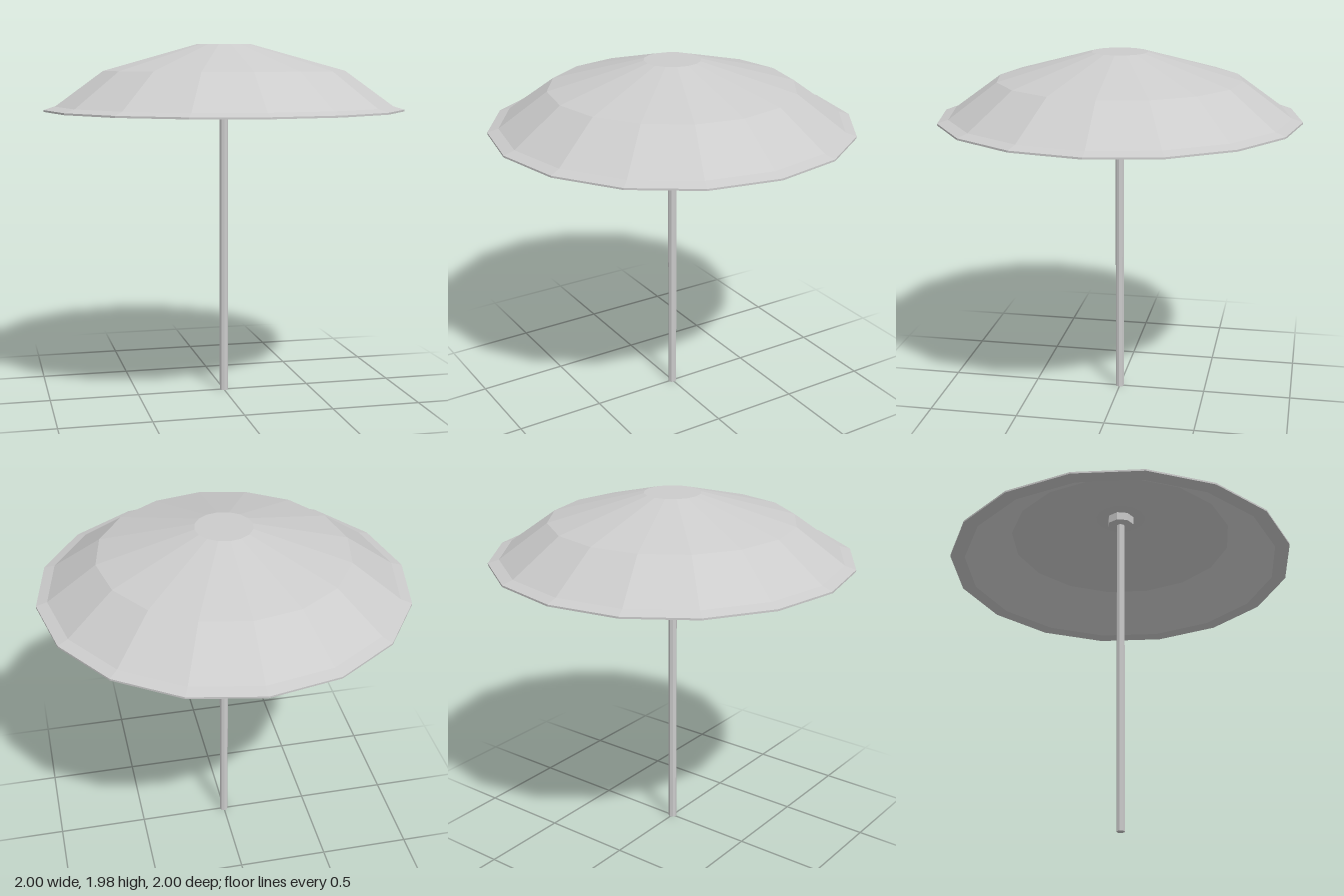
import * as THREE from 'three';

const material = new THREE.MeshStandardMaterial({ color: 0xcccccc, flatShading: true });

function addPart(group, name, geometry, y = 0) {
  const mesh = new THREE.Mesh(geometry, material);
  mesh.name = name;
  mesh.position.y = y;
  group.add(mesh);
}

// Upright prism standing between two heights
function addPrism(group, name, radius, bottom, top, sides) {
  const geometry = new THREE.CylinderGeometry(radius, radius, top - bottom, sides);
  addPart(group, name, geometry, (bottom + top) / 2);
}

export function createModel() {
  const group = new THREE.Group();
  group.name = 'parasol';

  // Faceted canopy shell: underside from the centre out, round the lip, back over the top
  const profile = [
    [0, 1.95], [0.15, 1.95], [0.65, 1.8], [0.917, 1.615],
    [1, 1.615], [1, 1.625], [0.94, 1.643], [0.675, 1.835], [0.155, 1.98], [0, 1.98],
  ].map(([r, y]) => new THREE.Vector2(r, y));
  addPart(group, 'canopy', new THREE.LatheGeometry(profile, 16));

  // Hub under the crown
  addPrism(group, 'hub', 0.08, 1.9, 1.955, 8);

  // Pole from the ground into the hub
  addPrism(group, 'pole', 0.024, 0, 1.94, 8);

  return group;
}
